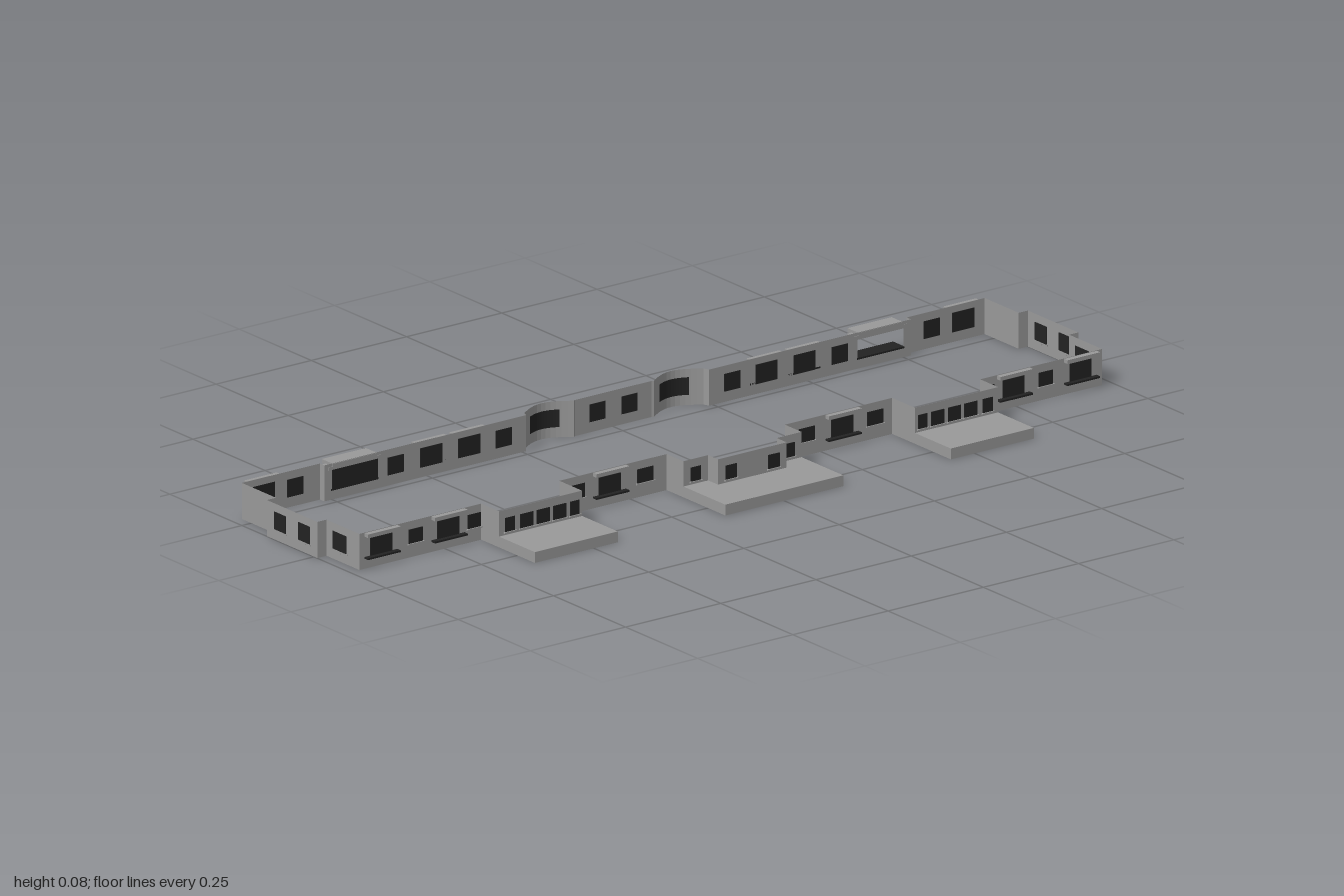
import * as THREE from 'three';

const H = 0.08; // wall height

export function createModel() {
  const model = new THREE.Group();
  model.name = 'buildingStorey';
  const stone = new THREE.MeshStandardMaterial({ color: 0x999999, side: THREE.DoubleSide });
  stone.name = 'grey stone';
  const dark = new THREE.MeshStandardMaterial({ color: 0x222222, side: THREE.DoubleSide });
  dark.name = 'dark glass';

  const add = (name, geometry, material) => {
    const mesh = new THREE.Mesh(geometry, material);
    mesh.name = name;
    model.add(mesh);
    return mesh;
  };
  const box = (name, material, x0, x1, y0, y1, z0, z1) =>
    add(name, new THREE.BoxGeometry(x1 - x0, y1 - y0, z1 - z0), material)
      .position.set((x0 + x1) / 2, (y0 + y1) / 2, (z0 + z1) / 2);

  // Upright sheet following a plan line of [x, z] points
  const ribbon = (name, material, plan, y0, y1) => {
    const v = [];
    for (let i = 0; i + 1 < plan.length; i++) {
      const [ax, az] = plan[i], [bx, bz] = plan[i + 1];
      v.push(ax, y0, az, ax, y1, az, bx, y1, bz, ax, y0, az, bx, y1, bz, bx, y0, bz);
    }
    const g = new THREE.BufferGeometry();
    g.setAttribute('position', new THREE.Float32BufferAttribute(v, 3));
    g.computeVertexNormals();
    add(name, g, material);
  };

  // Bowed part of the back wall, t from -1 to 1
  const bow = (t0, t1, offset = 0) => Array.from({ length: 13 }, (_, i) => {
    const t = t0 + (t1 - t0) * i / 12;
    return [0.17 + 0.065 * t, -0.281 - 0.028 * Math.cos(t * Math.PI / 2) + offset];
  });

  // Window in a wall facing z; out is the outward direction
  const windowZ = (x, z, w, out, y0 = 0.023, y1 = 0.062) => {
    box('window', dark, x - w / 2, x + w / 2, y0, y1, z - 0.0015, z + 0.0015);
    const far = z + out * 0.004;
    box('windowSill', stone, x - w / 2 - 0.003, x + w / 2 + 0.003, y0 - 0.003, y0,
      Math.min(z, far), Math.max(z, far));
  };
  // Wide window with a projecting hood and a dark sill
  const hoodedWindow = (x, z, out) => {
    windowZ(x, z, 0.057, out, 0.022, 0.065);
    const far = z + out * 0.012, a = Math.min(z, far), b = Math.max(z, far);
    box('windowHood', stone, x - 0.043, x + 0.043, 0.071, 0.079, a, b);
    box('darkSill', dark, x - 0.043, x + 0.043, 0.022, 0.026, a, b);
  };

  for (const s of [-1, 1]) {
    const flip = (plan) => plan.map(([x, z]) => [s * x, z]);

    // Outer walls, interrupted by the bay opening at the back
    ribbon('backWall', stone, flip([[0, -0.283], [0.1, -0.283], ...bow(-1, 1),
      [0.24, -0.268], [0.63, -0.268]]), 0, H);
    ribbon('outerWall', stone, flip([
      [0.75, -0.268], [0.77, -0.268], [0.77, -0.283], [0.975, -0.283],
      [0.975, -0.165], [0.999, -0.165], [0.999, 0.01], [0.975, 0.01], [0.975, 0.124],
      [0.655, 0.124], [0.655, 0.186], [0.437, 0.186], [0.437, 0.107],
      [0.155, 0.107], [0.155, 0.165], [0.09, 0.165], [0.09, 0.199], [0, 0.199]]), 0, H);
    const bayPlan = flip([[0.63, -0.268], [0.75, -0.268]]);
    ribbon('bayLowerWall', stone, bayPlan, 0, 0.022);
    ribbon('bayUpperWall', stone, bayPlan, 0.064, H);

    // Bay hood and sill; only the right bay is glazed
    const bx = s * 0.69;
    box('bayHood', stone, bx - 0.07, bx + 0.07, 0.066, 0.073, -0.292, -0.267);
    box('bayHoodTop', stone, bx - 0.058, bx + 0.058, 0.07, 0.079, -0.306, -0.267);
    box('baySill', dark, bx - 0.062, bx + 0.062, 0.02, 0.024, -0.306, -0.267);
    if (s < 0) box('bayGlass', dark, bx - 0.06, bx + 0.06, 0.022, 0.066, -0.303, -0.266);

    // Curved windows in the bows
    for (const offset of [-0.0015, 0.0015])
      ribbon('bowWindow', dark, flip(bow(-0.6, 0.6, offset)), 0.023, 0.062);

    // Front windows
    hoodedWindow(s * 0.918, 0.124, 1);
    hoodedWindow(s * 0.742, 0.124, 1);
    hoodedWindow(s * 0.305, 0.107, 1);
    for (const [x, z, w] of [[0.827, 0.124, 0.037], [0.674, 0.124, 0.034],
      [0.627, 0.186, 0.026], [0.583, 0.186, 0.034], [0.54, 0.186, 0.034],
      [0.496, 0.186, 0.034], [0.457, 0.186, 0.024], [0.392, 0.107, 0.042],
      [0.212, 0.107, 0.042], [0.123, 0.165, 0.027], [0.056, 0.199, 0.03]])
      windowZ(s * x, z, w, 1, 0.031);

    // Back windows
    hoodedWindow(s * 0.918, -0.283, -1);
    hoodedWindow(s * 0.49, -0.268, -1);
    hoodedWindow(s * 0.39, -0.268, -1);
    for (const [x, z] of [[0.835, -0.283], [0.583, -0.268], [0.3, -0.268], [0.042, -0.283]])
      windowZ(s * x, z, 0.042, -1);

    // End windows
    for (const [x, z, w] of [[0.975, 0.056, 0.047], [0.996, -0.035, 0.041], [0.996, -0.119, 0.041]]) {
      const cx = s * (z < 0 ? 0.9985 : x);
      box('endWindow', dark, cx - 0.0015, cx + 0.0015, 0.023, 0.062, z - w / 2, z + w / 2);
      box('endSill', stone, cx - 0.0015, cx + 0.0015, 0.02, 0.023, z - w / 2 - 0.003, z + w / 2 + 0.003);
      box('sillBracket', stone, cx - 0.0015, cx + 0.0015, 0.017, 0.02, z - 0.004, z + 0.004);
    }

    // Side terrace
    box('sideTerrace', stone, s * 0.546 - 0.109, s * 0.546 + 0.109, 0, 0.024, 0.186, 0.31);
  }

  // Central terrace wrapped around the projecting entrance wall
  const plan = new THREE.Shape([[-0.155, -0.31], [0.155, -0.31], [0.155, -0.165], [0.09, -0.165],
    [0.09, -0.199], [-0.09, -0.199], [-0.09, -0.165], [-0.155, -0.165]]
    .map(([x, y]) => new THREE.Vector2(x, y)));
  const terrace = new THREE.ExtrudeGeometry(plan, { depth: 0.024, bevelEnabled: false });
  terrace.rotateX(-Math.PI / 2);
  add('centralTerrace', terrace, stone);

  return model;
}
